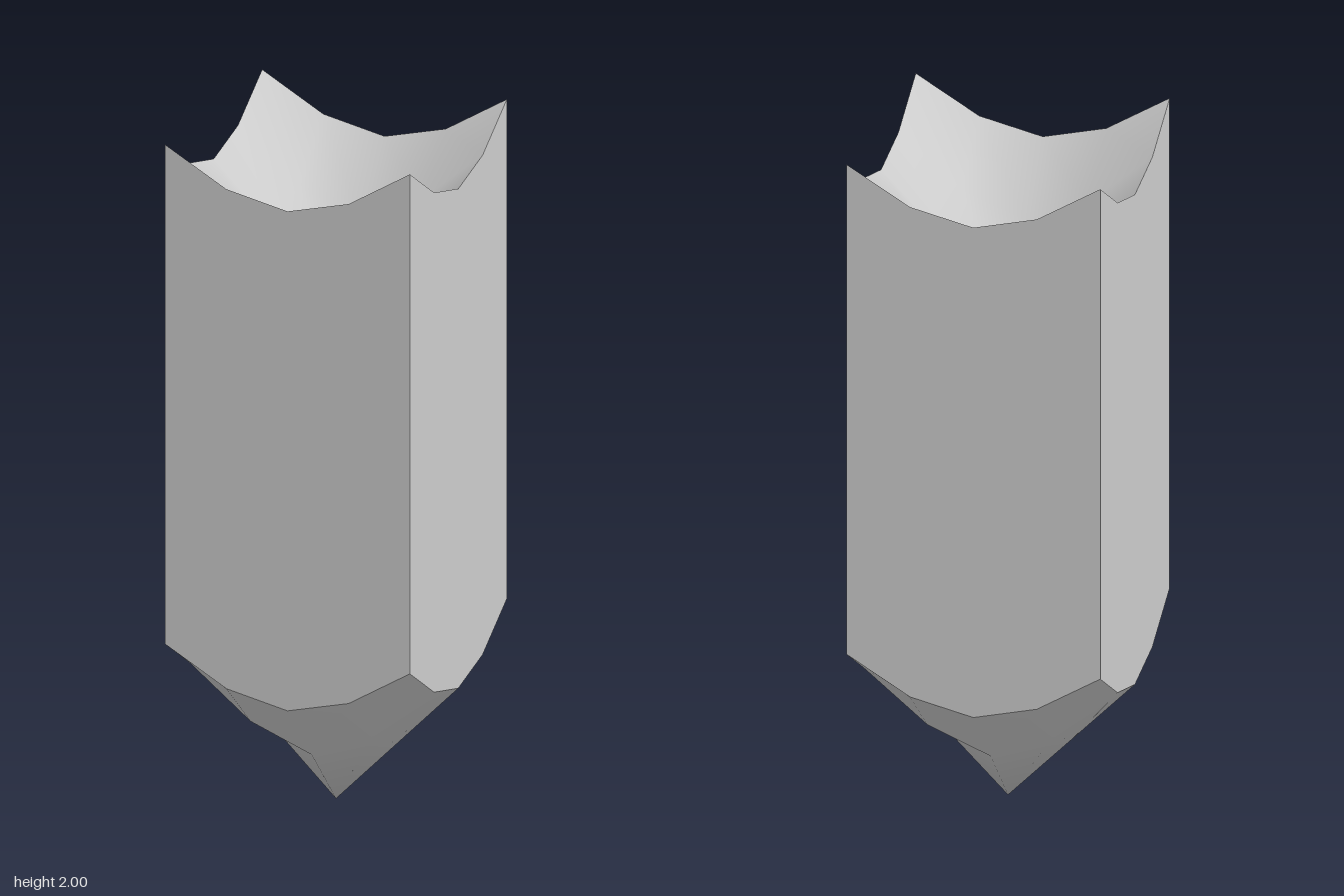
import * as THREE from 'three';

const HALF = 0.37;     // half width of the square column
const LENGTH = 1.475;  // vertical distance between the two conical ends

export function createModel() {
  const group = new THREE.Group();
  const grey = new THREE.MeshStandardMaterial({ color: 0xcccccc });
  grey.name = 'lightGrey';

  const add = (name, geometry) => {
    const mesh = new THREE.Mesh(geometry, grey);
    mesh.name = name;
    group.add(mesh);
    return mesh;
  };

  // Raise each vertex by its distance from the axis, giving a coarse cone
  const raiseToCone = (geometry) => {
    const p = geometry.attributes.position;
    for (let i = 0; i < p.count; i++) {
      p.setY(i, p.getY(i) + Math.hypot(p.getX(i), p.getZ(i)));
    }
    return geometry;
  };

  // Smooth conical end; the underside has its corner order reversed
  const coneEnd = (y, faceDown) => {
    const g = new THREE.PlaneGeometry(2 * HALF, 2 * HALF, 4, 4);
    g.rotateX(-Math.PI / 2).rotateY(Math.PI / 2);
    raiseToCone(g);
    g.translate(0, y, 0);
    if (faceDown) g.setIndex(Array.from(g.index.array).reverse());
    g.computeVertexNormals();
    return g;
  };

  add('topFunnel', coneEnd(LENGTH, false));
  add('bottomPoint', coneEnd(0, true));

  // Four flat sides with scalloped upper and lower edges
  ['frontSide', 'leftSide', 'backSide', 'rightSide'].forEach((name, i) => {
    const g = new THREE.PlaneGeometry(2 * HALF, LENGTH, 4, 1);
    g.translate(0, LENGTH / 2, HALF);
    raiseToCone(g);
    add(name, g).rotation.y = i * Math.PI / 2;
  });

  return group;
}
